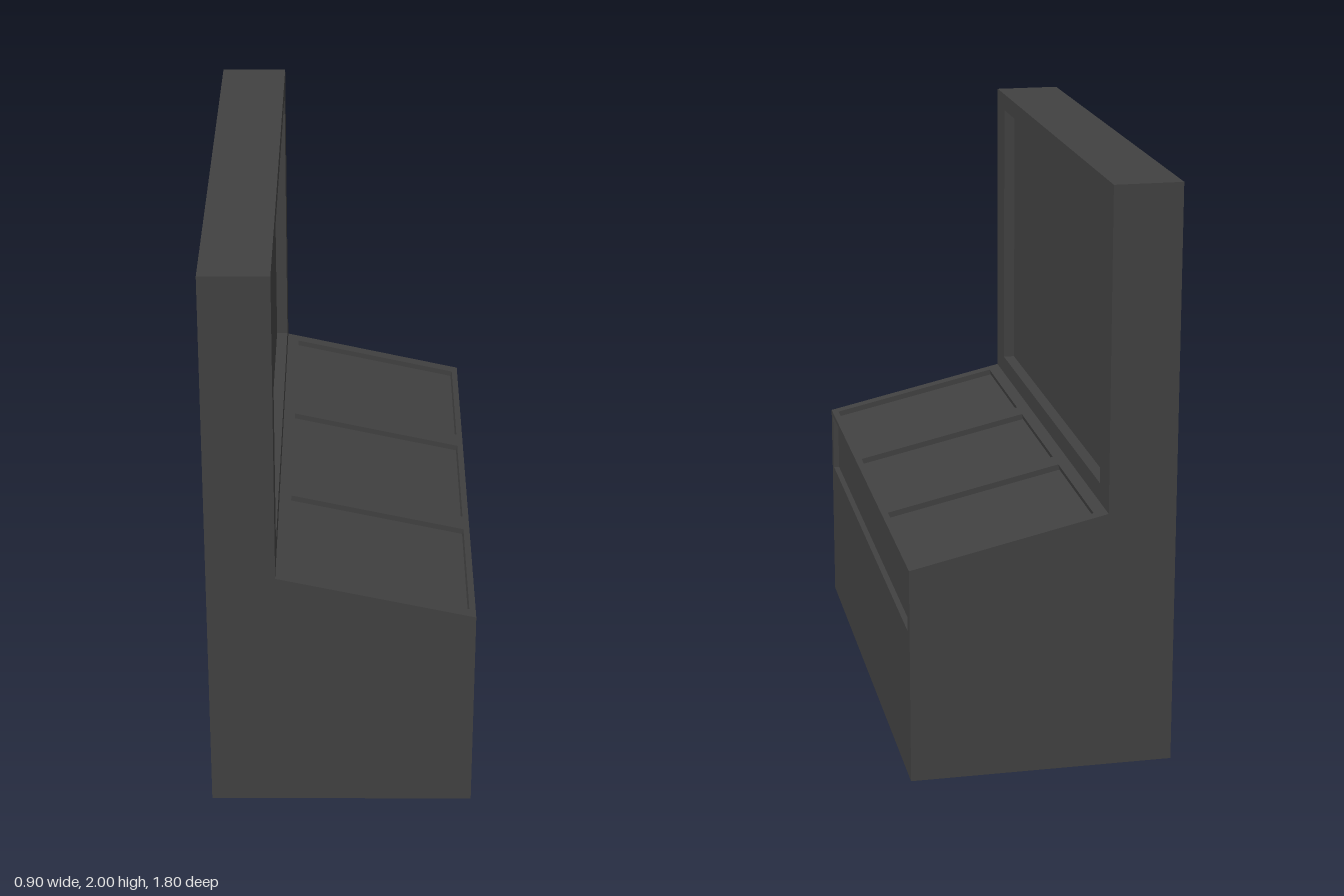
import * as THREE from 'three';

const HALF = 0.9; // half length along z

// Rectangle as a counter-clockwise list of corners
const rect = (x0, y0, x1, y1) => [[x0, y0], [x1, y0], [x1, y1], [x0, y1]].map(([x, y]) => new THREE.Vector2(x, y));

// Four inward-facing walls of a rectangular recess
function recessWalls(corners, depth) {
  const pos = [];
  corners.forEach((a, i) => {
    const b = corners[(i + 1) % 4];
    pos.push(a.x, a.y, 0, b.x, b.y, 0, b.x, b.y, -depth);
    pos.push(a.x, a.y, 0, b.x, b.y, -depth, a.x, a.y, -depth);
  });
  const g = new THREE.BufferGeometry();
  g.setAttribute('position', new THREE.Float32BufferAttribute(pos, 3));
  g.computeVertexNormals();
  return g;
}

export function createModel() {
  const model = new THREE.Group();
  model.name = 'console';
  const charcoal = new THREE.MeshStandardMaterial({ color: 0x414141 });
  charcoal.name = 'charcoal';

  const add = (parent, geometry, name) => {
    const m = new THREE.Mesh(geometry, charcoal);
    m.name = name;
    parent.add(m);
    return m;
  };

  // Side profile, counter-clockwise; each edge becomes one long face
  const profile = [[-0.45, 0], [0.447, 0], [0.447, 0.75], [-0.22, 0.9], [-0.22, 2], [-0.45, 2]]
    .map(([x, y]) => new THREE.Vector2(x, y));

  // Recesses as [u0, v0, u1, v1]: u runs towards -z, v along the edge
  const faces = [
    { name: 'base' },
    { name: 'frontPanel', depth: 0.02, holes: [[-0.86, 0.525, 0.86, 0.735]] },
    { name: 'controlDesk', depth: 0.02, holes: [-0.6, 0, 0.6].map(c => [c - 0.257, 0.022, c + 0.257, 0.642]) },
    { name: 'screenWall', depth: 0.04, holes: [[-0.775, 0.065, 0.775, 1.04]] },
    { name: 'top' },
    { name: 'back' },
  ];

  faces.forEach(({ name, depth, holes = [] }, i) => {
    const a = profile[i], b = profile[(i + 1) % profile.length];
    const length = a.distanceTo(b);
    const u = new THREE.Vector3(0, 0, -1);
    const v = new THREE.Vector3(b.x - a.x, b.y - a.y, 0).normalize();
    const face = new THREE.Group();
    face.name = name;
    face.quaternion.setFromRotationMatrix(
      new THREE.Matrix4().makeBasis(u, v, new THREE.Vector3().crossVectors(u, v)));
    face.position.set(a.x, a.y, 0);

    const shape = new THREE.Shape(rect(-HALF, 0, HALF, length));
    holes.forEach(h => {
      const corners = rect(...h);
      shape.holes.push(new THREE.Path(corners));
      add(face, recessWalls(corners, depth), name + 'RecessWalls');
      add(face, new THREE.ShapeGeometry(new THREE.Shape(corners)), name + 'Inset').position.z = -depth;
    });
    add(face, new THREE.ShapeGeometry(shape), name + 'Surface');
    model.add(face);
  });

  // End panels
  add(model, new THREE.ShapeGeometry(new THREE.Shape(profile)), 'frontEnd').position.z = HALF;
  const mirrored = profile.map(p => new THREE.Vector2(-p.x, p.y)).reverse();
  const rear = add(model, new THREE.ShapeGeometry(new THREE.Shape(mirrored)), 'rearEnd');
  rear.rotation.y = Math.PI;
  rear.position.z = -HALF;

  return model;
}
